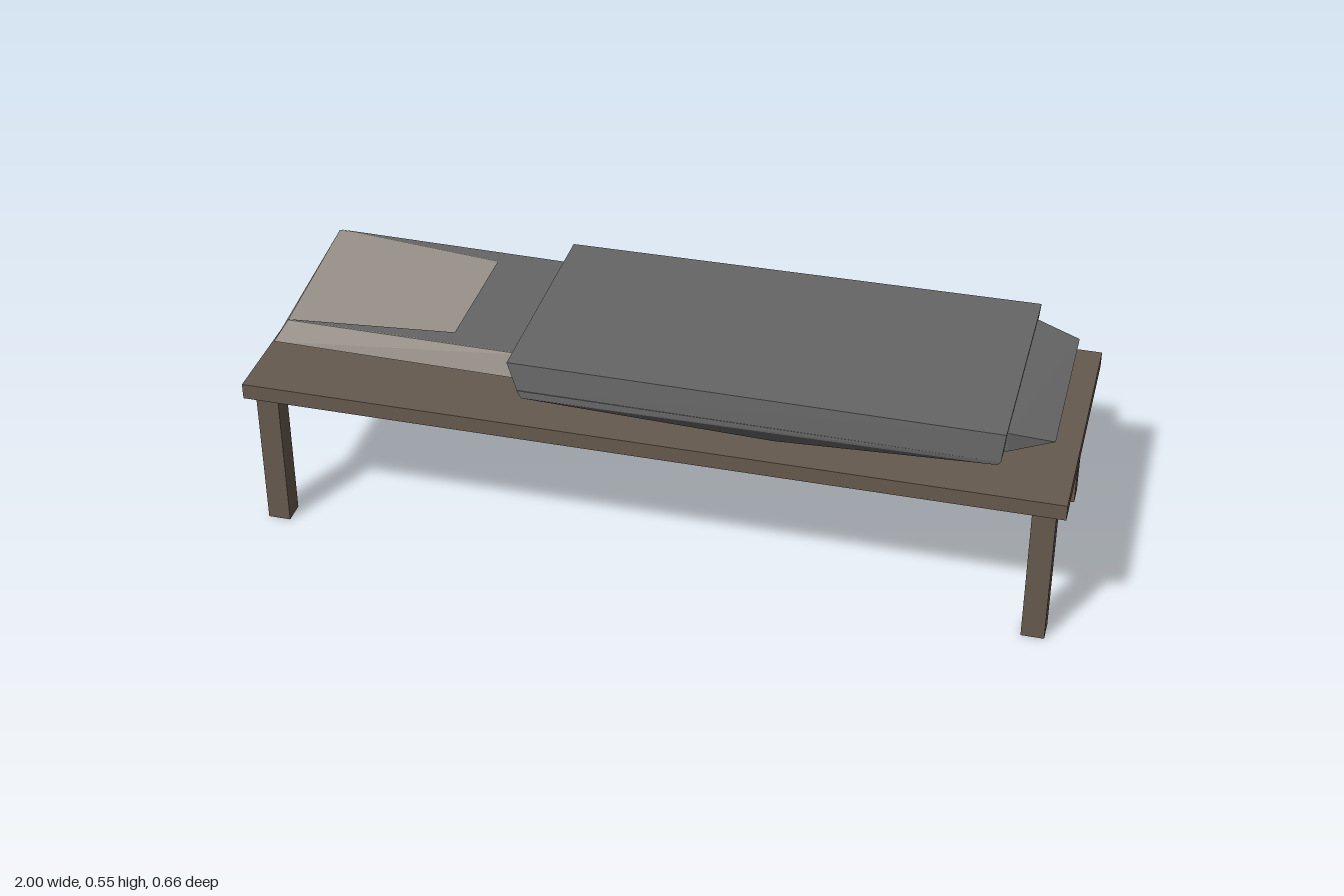
import * as THREE from 'three';
import { ConvexGeometry } from 'three/addons/geometries/ConvexGeometry.js';

const material = (color) => new THREE.MeshStandardMaterial({ color, flatShading: true, side: THREE.DoubleSide });

export function createModel() {
  const model = new THREE.Group();
  const wood = material(0x665a4e);
  const linen = material(0x99928a);
  const cloth = material(0x666666);

  function add(name, geometry, mat, parent = model) {
    const mesh = new THREE.Mesh(geometry, mat);
    mesh.name = name;
    parent.add(mesh);
    return mesh;
  }
  // faceted solid wrapped around a few corner points
  const solid = (points) => new ConvexGeometry(points.map((p) => new THREE.Vector3(...p)));

  // bed frame: flat board on four square legs
  const frame = new THREE.Group();
  frame.name = 'bedFrame';
  model.add(frame);
  add('board', new THREE.BoxGeometry(2, 0.04, 0.66), wood, frame).position.y = 0.387;
  for (const x of [-0.948, 0.948]) {
    for (const z of [-0.281, 0.281]) {
      add('leg', new THREE.BoxGeometry(0.056, 0.367, 0.056), wood, frame).position.set(x, 0.1835, z);
    }
  }

  // pale head end of the mattress
  add('pillowEnd', solid([
    [-0.95, 0.477, 0.23], [-0.955, 0.477, -0.238],
    [-0.918, 0.53, 0.208], [-0.948, 0.53, -0.23],
    [-0.3, 0.477, 0.24], [-0.3, 0.477, -0.225],
    [-0.3, 0.536, 0.222], [-0.3, 0.536, -0.208],
  ]), linen);

  // dark sheet around the pale head area, following its slight slope
  const sheetShape = new THREE.Shape([
    [-0.918, -0.208], [-0.3, -0.222], [-0.3, 0.208], [-0.948, 0.23],
    [-0.505, 0.17], [-0.505, -0.17],
  ].map(([x, y]) => new THREE.Vector2(x, y)));
  const sheet = new THREE.ShapeGeometry(sheetShape).rotateX(-Math.PI / 2);
  const pos = sheet.attributes.position;
  for (let i = 0; i < pos.count; i++) pos.setY(i, 0.532 + 0.006 * (pos.getX(i) + 0.95) / 0.65);
  sheet.computeVertexNormals();
  add('sheet', sheet, cloth);

  // foot end of the mattress, narrowing to a wedge
  const foot = [[0.95, 0.498, 0.215], [0.95, 0.508, -0.218]];
  for (const z of [-0.25, 0.25]) {
    for (const y of [0.477, 0.527]) foot.push([-0.28, y, z * 0.94], [0.845, y, z]);
  }
  add('footEnd', solid(foot), cloth);

  // blanket: flared slab with a pointed fold hanging on each side
  const blanket = new THREE.Group();
  blanket.name = 'blanket';
  model.add(blanket);
  add('blanketTop', solid([
    [-0.34, 0.546, 0.28], [-0.34, 0.546, -0.285],
    [0.845, 0.548, 0.289], [0.845, 0.548, -0.29],
    [-0.315, 0.477, 0.288], [-0.315, 0.477, -0.293],
    [0.838, 0.477, 0.296], [0.838, 0.477, -0.297],
  ]), cloth, blanket);
  for (const side of [-1, 1]) {
    add('blanketFold', solid([
      [-0.315, 0.477, side * 0.25], [-0.315, 0.477, side * 0.29],
      [-0.305, 0.458, side * 0.291], [0.83, 0.468, side * 0.295],
      [0.838, 0.477, side * 0.25], [0.838, 0.477, side * 0.296],
      [0.3, 0.415, side * 0.255],
    ]), cloth, blanket);
  }
  return model;
}
